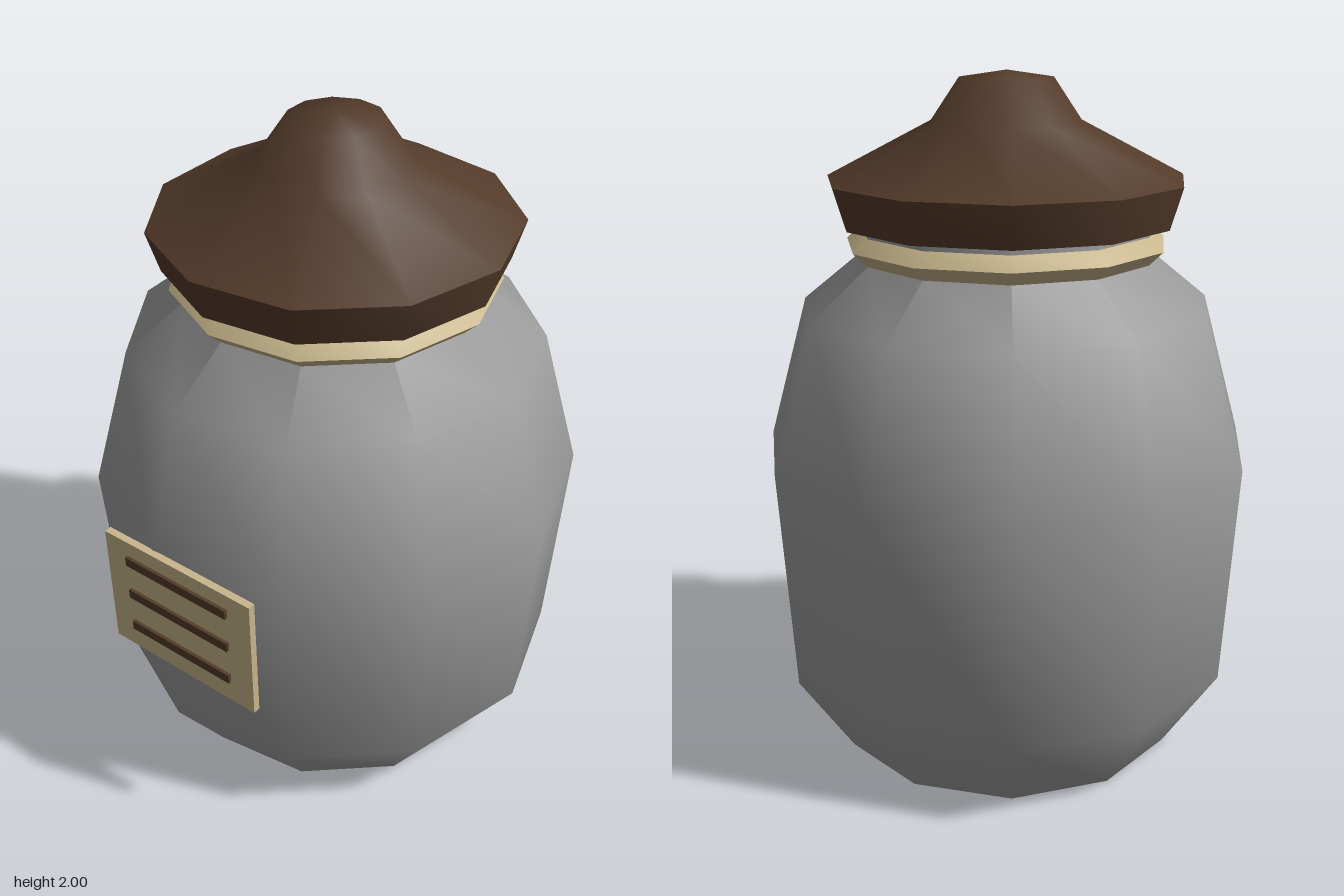
import * as THREE from 'three';
import { toCreasedNormals } from 'three/addons/utils/BufferGeometryUtils.js';

const SIDES = 11;

function material(name, color) {
  const m = new THREE.MeshStandardMaterial({ color });
  m.name = name;
  return m;
}

export function createModel() {
  const jar = new THREE.Group();
  jar.name = 'jar';

  const stoneGrey = material('stoneGrey', 0x9c9c9c);
  const woodBrown = material('woodBrown', 0x533b2a);
  const paperCream = material('paperCream', 0xc8b68c);

  function add(name, geometry, mat, x = 0, y = 0, z = 0) {
    const mesh = new THREE.Mesh(geometry, mat);
    mesh.name = name;
    mesh.position.set(x, y, z);
    jar.add(mesh);
  }

  // Turned part from [radius, height] pairs, with one corner pointing to +x
  function turned(profile, crease) {
    const points = profile.map(([r, y]) => new THREE.Vector2(r, y));
    const lathe = new THREE.LatheGeometry(points, SIDES, Math.PI / 2);
    return toCreasedNormals(lathe, THREE.MathUtils.degToRad(crease));
  }

  const cx = -0.016, cz = -0.015;

  // Pot with shoulder and neck
  add('body', turned([
    [0, 0], [0.52, 0], [0.685, 0.25], [0.725, 0.91],
    [0.605, 1.335], [0.428, 1.48], [0.428, 1.6], [0, 1.6],
  ], 53), stoneGrey, cx, 0, cz);

  // Diamond-section cord around the neck
  add('neckRing', turned([
    [0.43, 1.478], [0.471, 1.518], [0.43, 1.557], [0.39, 1.518], [0.43, 1.478],
  ], 50), paperCream, cx, 0, cz);

  // Lid with a flared rim and a knob
  add('lid', turned([
    [0, 1.58], [0.487, 1.58], [0.523, 1.7], [0.217, 1.86], [0.135, 1.98], [0, 2],
  ], 55), woodBrown, cx, 0, cz);

  // Label and its three bars
  add('label', new THREE.BoxGeometry(0.524, 0.4, 0.022), paperCream, -0.018, 0.73, 0.705);
  for (const y of [0.62, 0.743, 0.865]) {
    add('labelBar', new THREE.BoxGeometry(0.364, 0.03, 0.0098), woodBrown, -0.018, y, 0.7209);
  }

  return jar;
}
